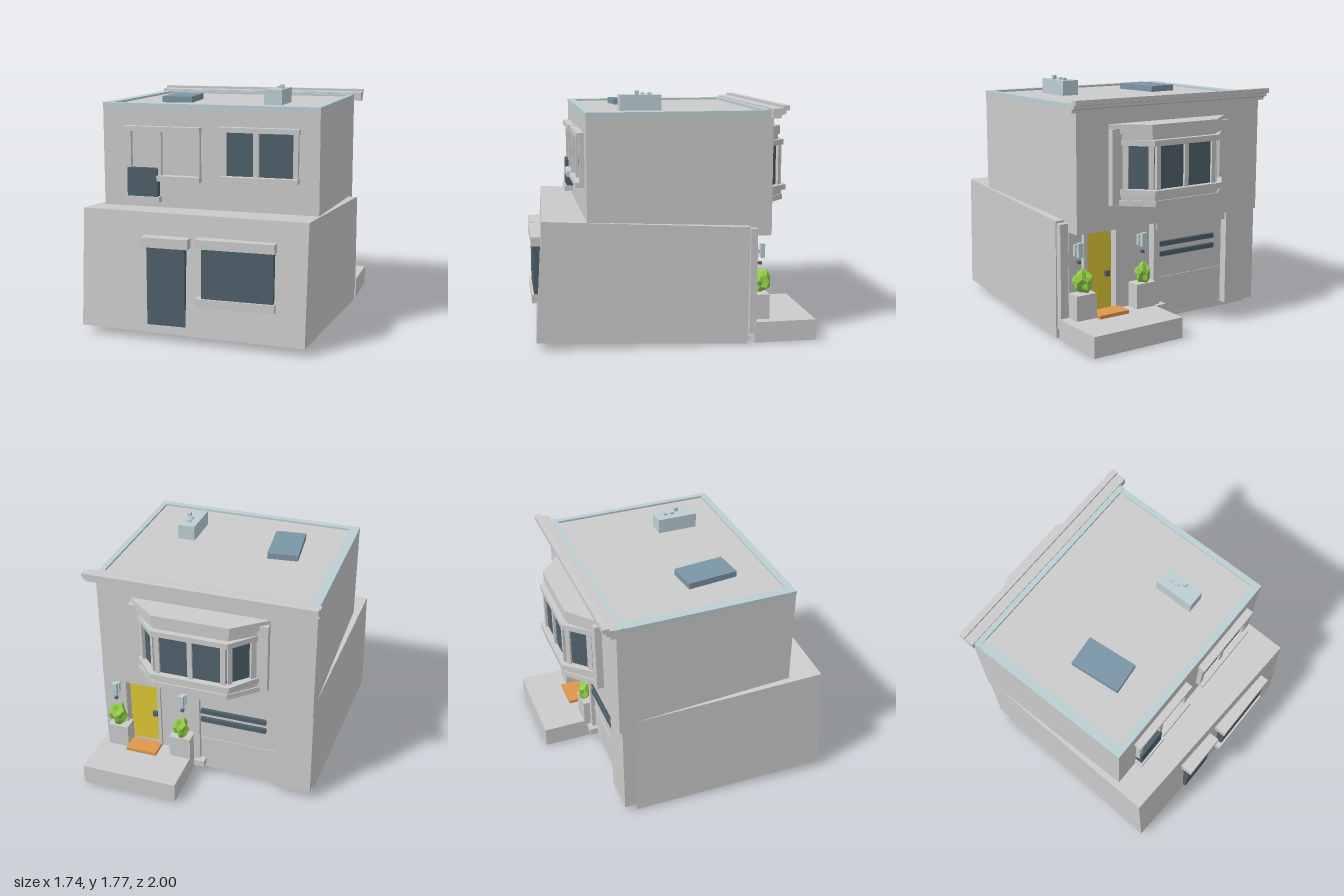
import * as THREE from 'three';

const mat = (color) => new THREE.MeshStandardMaterial({ color, flatShading: true });
const GREY = mat(0xcccccc), GLASS = mat(0x4e606b), TRIM = mat(0xbccfd3), SKY = mat(0x7c96a6);
const YELLOW = mat(0xdcc634), ORANGE = mat(0xe0964a), GREEN = mat(0x92cc48), DARK = mat(0x5a646c);

export function createModel() {
  const root = new THREE.Group();
  root.name = 'townhouse';

  const add = (name, geometry, material = GREY, parent = root) => {
    const m = new THREE.Mesh(geometry, material);
    m.name = name;
    parent.add(m);
    return m;
  };
  // Box given by its limits on each axis
  const box = (name, x0, x1, y0, y1, z0, z1, material = GREY, parent = root) => {
    const m = add(name, new THREE.BoxGeometry(x1 - x0, y1 - y0, z1 - z0), material, parent);
    m.position.set((x0 + x1) / 2, (y0 + y1) / 2, (z0 + z1) / 2);
    return m;
  };
  const group = (name) => {
    const g = new THREE.Group();
    g.name = name;
    root.add(g);
    return g;
  };

  // Lower storey: a box with its corners moved into a slightly tilted block
  const lower = new THREE.BoxGeometry(2, 2, 2);
  const corners = {
    '-1,-1,1': [-0.87, 0.06, 0.91], '1,-1,1': [0.79, 0.06, 0.985],
    '1,-1,-1': [0.865, 0.005, -0.5], '-1,-1,-1': [-0.8, 0.005, -0.57],
    '-1,1,1': [-0.86, 0.915, 0.86], '1,1,1': [0.8, 0.915, 0.935],
    '1,1,-1': [0.865, 0.845, -0.51], '-1,1,-1': [-0.8, 0.845, -0.575],
  };
  const p = lower.attributes.position;
  for (let i = 0; i < p.count; i++) p.setXYZ(i, ...corners[[p.getX(i), p.getY(i), p.getZ(i)].join()]);
  lower.computeVertexNormals();
  add('lowerStorey', lower);

  // Upper storey overhanging the street side
  box('upperStorey', -0.8, 0.8, 0.77, 1.635, -0.68, 0.625);

  // Roof rim
  const roof = group('roof');
  box('rimFront', -0.802, 0.802, 1.62, 1.65, 0.575, 0.627, TRIM, roof);
  box('rimBack', -0.802, 0.802, 1.62, 1.655, -0.69, -0.62, TRIM, roof);
  box('rimRight', -0.802, -0.73, 1.62, 1.65, -0.62, 0.575, TRIM, roof);
  box('rimLeft', 0.76, 0.802, 1.62, 1.65, -0.62, 0.575, TRIM, roof);

  // Cornice profile swept along x
  const cornice = new THREE.Shape([
    [0.66, 1.6], [0.72, 1.6], [0.72, 1.62], [0.75, 1.63], [0.75, 1.65], [0.775, 1.655],
    [0.775, 1.688], [0.73, 1.688], [0.73, 1.67], [0.66, 1.665],
  ].map(([x, y]) => new THREE.Vector2(x, y)));
  const corniceMesh = add('cornice',
    new THREE.ExtrudeGeometry(cornice, { depth: 1.68, bevelEnabled: false }), GREY, roof);
  corniceMesh.rotation.y = Math.PI / 2;
  corniceMesh.position.x = -0.82;
  corniceMesh.geometry.scale(1, 1, 1);

  // Skylight and chimney
  const skylight = box('skylight', -0.4725, -0.2475, 1.63, 1.68, -0.053, 0.323, SKY, roof);
  skylight.rotation.y = 0.1;
  box('chimney', 0.33, 0.46, 1.63, 1.745, 0.05, 0.35, TRIM, roof);
  [[0.4, 0.13, 1.76], [0.4, 0.18, 1.76], [0.43, 0.225, 1.775]].forEach(([x, z, y]) =>
    box('chimneyPot', x - 0.013, x + 0.013, 1.74, y, z - 0.013, z + 0.013, TRIM, roof));

  // Garden side: upper windows
  const wl = group('upperWindowRight');
  box('header', -0.63, -0.05, 1.455, 1.49, 0.62, 0.68, GREY, wl);
  box('backPanel', -0.6, -0.07, 1.12, 1.46, 0.62, 0.63, GREY, wl);
  [[-0.61, -0.575], [-0.38, -0.345], [-0.09, -0.055]].forEach(([a, b]) =>
    box('post', a, b, 1.105, 1.46, 0.62, 0.66, GREY, wl));
  box('sill', -0.37, -0.05, 1.1, 1.14, 0.62, 0.695, GREY, wl);
  box('lowerPane', -0.6, -0.37, 0.98, 1.19, 0.62, 0.675, GLASS, wl);
  box('lowerSill', -0.615, -0.355, 0.945, 0.985, 0.62, 0.69, GREY, wl);

  const wr = group('upperWindowLeft');
  box('header', 0.09, 0.665, 1.465, 1.5, 0.62, 0.68, GREY, wr);
  box('sill', 0.1, 0.66, 1.12, 1.155, 0.62, 0.69, GREY, wr);
  [[0.1, 0.14], [0.335, 0.375], [0.62, 0.655]].forEach(([a, b]) =>
    box('post', a, b, 1.155, 1.465, 0.62, 0.66, GREY, wr));
  [[0.14, 0.335], [0.375, 0.62]].forEach(([a, b]) =>
    box('pane', a, b, 1.155, 1.465, 0.62, 0.64, GLASS, wr));

  // Garden side: lower door and window
  box('gardenDoor', -0.35, -0.07, 0.125, 0.69, 0.85, 0.955, GLASS);
  box('gardenDoorHeader', -0.38, -0.04, 0.685, 0.755, 0.86, 0.985);
  box('gardenWindow', 0.06, 0.57, 0.345, 0.705, 0.88, 0.985, GLASS);
  box('gardenWindowHeader', 0.02, 0.58, 0.7, 0.765, 0.88, 1);
  box('gardenWindowSill', 0.02, 0.58, 0.29, 0.35, 0.88, 1);

  // Bay window: stacked tapered slabs, each [half back, half front, back z, front z]
  const bay = group('bayWindow');
  bay.position.x = 0.035;
  const slab = (name, hb, hf, zb, zf, y0, y1, material = GREY) => {
    const s = new THREE.Shape([[-hb, -zb], [hb, -zb], [hf, -zf], [-hf, -zf]]
      .map(([x, y]) => new THREE.Vector2(x, y)));
    const g = new THREE.ExtrudeGeometry(s, { depth: y1 - y0, bevelEnabled: false });
    add(name, g.rotateX(-Math.PI / 2).translate(0, y0, 0), material, bay);
  };
  box('backPlate', -0.51, 0.51, 0.95, 1.475, -0.73, -0.67, GREY, bay);
  slab('bayRoof', 0.51, 0.28, -0.68, -0.87, 1.44, 1.505);
  slab('bayFascia', 0.47, 0.27, -0.7, -0.86, 1.39, 1.44);
  slab('bayHead', 0.44, 0.28, -0.73, -0.9, 1.36, 1.4);
  slab('bayGlass', 0.41, 0.25, -0.72, -0.875, 1.05, 1.37, GLASS);
  slab('baySill', 0.45, 0.29, -0.73, -0.92, 1.02, 1.06);
  slab('bayApron', 0.45, 0.27, -0.72, -0.89, 0.98, 1.02);
  slab('bayBase', 0.51, 0.27, -0.68, -0.9, 0.945, 0.985);
  const post = (x, z, w, turn = 0) => {
    const m = add('bayPost', new THREE.BoxGeometry(w, 0.34, 0.035), GREY, bay);
    m.position.set(x, 1.21, z);
    m.rotation.y = turn;
  };
  [-0.24, -0.0, 0.24].forEach((x) => post(x, -0.875, 0.035));
  for (const s of [-1, 1]) {
    post(s * 0.275, -0.855, 0.035, s * -0.77);
    post(s * 0.405, -0.735, 0.04, s * -0.77);
  }

  // Street side: walls around the entrance
  box('entranceWallLeft', 0.68, 0.8, 0.08, 0.77, -0.57, -0.515);
  box('entrancePilaster', 0.8, 0.862, 0.08, 0.83, -0.565, -0.515);
  box('entranceWallRight', 0.1, 0.41, 0.08, 0.77, -0.57, -0.5);
  box('frontDoor', 0.41, 0.68, 0.16, 0.77, -0.525, -0.49, YELLOW);
  box('doorJamb', 0.665, 0.695, 0.16, 0.77, -0.6, -0.515);
  box('doorJamb', 0.395, 0.42, 0.16, 0.77, -0.59, -0.515);
  box('doorLock', 0.445, 0.48, 0.4, 0.44, -0.55, -0.52, DARK);
  box('porchStep', 0.14, 0.87, 0.01, 0.16, -1, -0.55);
  box('doorMat', 0.4, 0.64, 0.16, 0.185, -0.72, -0.58, ORANGE);

  // Planters with faceted shrubs, and wall lamps above
  const shrub = (x, y, z, r, h) => {
    const g = new THREE.IcosahedronGeometry(1, 1);
    const q = g.attributes.position;
    for (let i = 0; i < q.count; i++) {
      const a = q.getX(i), b = q.getY(i), c = q.getZ(i);
      const k = 0.82 + 0.24 * Math.sin(5 * a + 3 * b) * Math.cos(4 * c - 2 * b);
      q.setXYZ(i, a * k, b * k, c * k);
    }
    g.scale(r, h, r).computeVertexNormals();
    add('shrub', g, GREEN).position.set(x, y, z);
  };
  box('planterLeft', 0.64, 0.8, 0.16, 0.34, -0.675, -0.56);
  box('planterRight', 0.135, 0.3, 0.16, 0.34, -0.675, -0.56);
  shrub(0.73, 0.43, -0.63, 0.08, 0.1);
  shrub(0.22, 0.41, -0.63, 0.065, 0.095);
  for (const x of [0.745, 0.21]) {
    const lamp = group('wallLamp');
    box('lampPlate', x - 0.02, x + 0.02, 0.6, 0.68, -0.595, -0.565, TRIM, lamp);
    box('lampArm', x - 0.01, x + 0.01, 0.635, 0.655, -0.63, -0.59, TRIM, lamp);
    box('lampShade', x - 0.02, x + 0.02, 0.6, 0.7, -0.645, -0.615, TRIM, lamp);
    box('lampBulb', x - 0.01, x + 0.01, 0.55, 0.57, -0.625, -0.6, DARK, lamp);
  }

  // Garage
  const garage = group('garage');
  box('garageDoor', -0.54, 0.1, 0.07, 0.77, -0.6, -0.5, GREY, garage);
  box('garageHeader', -0.54, 0.1, 0.71, 0.77, -0.64, -0.59, GREY, garage);
  box('garagePost', 0.07, 0.12, 0.09, 0.77, -0.63, -0.5, GREY, garage);
  box('garagePostFoot', 0.03, 0.11, 0.1, 0.15, -0.66, -0.58, GREY, garage);
  box('garagePillar', -0.8, -0.53, 0.06, 0.77, -0.66, -0.5, GREY, garage);
  box('garageGroove', -0.53, 0.07, 0.33, 0.34, -0.606, -0.59, GREY, garage);
  for (const y of [0.5, 0.575])
    box('garageVent', -0.44, 0.06, y, y + 0.035, -0.625, -0.59, GLASS, garage);

  return root;
}
